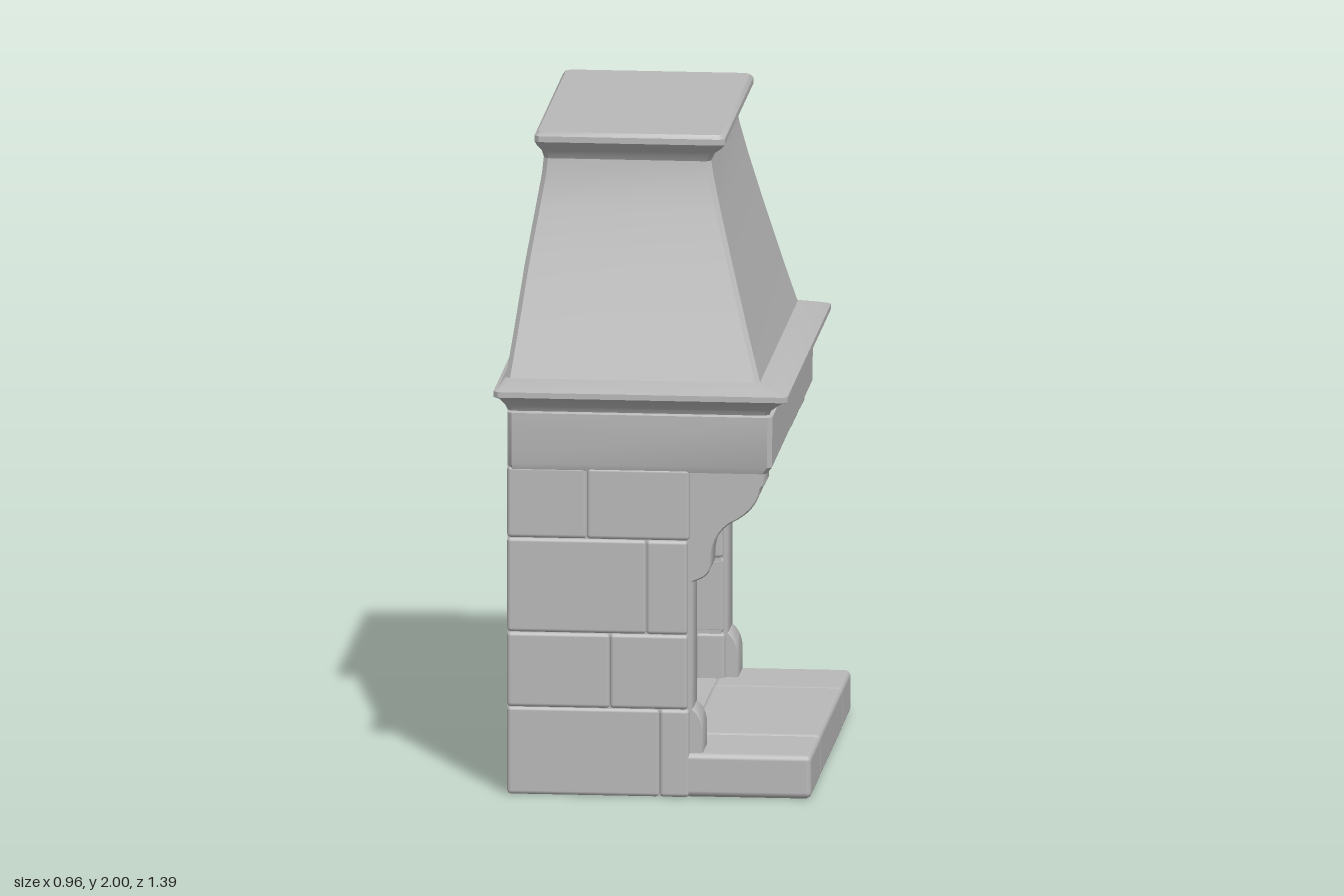
import * as THREE from 'three';
import { RoundedBoxGeometry } from 'three/addons/geometries/RoundedBoxGeometry.js';
import { toCreasedNormals } from 'three/addons/utils/BufferGeometryUtils.js';

// Stacks rectangular sections [y, xBack, xFront, zHalf] with chamfered corners
function loft(rows, c = 0.014) {
  const rings = rows.map(([y, a, b, z]) => [
    [a + c, z], [b - c, z], [b, z - c], [b, -z + c],
    [b - c, -z], [a + c, -z], [a, -z + c], [a, z - c],
  ].map(([x, w]) => [x, y, w]));
  const pos = [];
  const tri = (...pts) => pts.forEach((p) => pos.push(...p));
  for (let i = 0; i < rings.length - 1; i++) {
    for (let j = 0; j < 8; j++) {
      const k = (j + 1) % 8;
      const lo = rings[i], hi = rings[i + 1];
      tri(lo[j], lo[k], hi[k]);
      tri(lo[j], hi[k], hi[j]);
    }
  }
  const bottom = rings[0], top = rings[rings.length - 1];
  for (let j = 1; j < 7; j++) {
    tri(top[0], top[j], top[j + 1]);
    tri(bottom[0], bottom[j + 1], bottom[j]);
  }
  const geo = new THREE.BufferGeometry();
  geo.setAttribute('position', new THREE.Float32BufferAttribute(pos, 3));
  return toCreasedNormals(geo, 0.6);
}

export function createModel() {
  const model = new THREE.Group();
  model.name = 'fireplace';
  const stone = new THREE.MeshStandardMaterial({ color: 0xb8b8b8 });
  stone.name = 'grey stone';

  const add = (name, geo, parent = model) => {
    const mesh = new THREE.Mesh(geo, stone);
    mesh.name = name;
    parent.add(mesh);
    return mesh;
  };
  // Box given by its limits, rounded when r > 0
  const block = (name, x0, x1, y0, y1, z0, z1, r, parent) => {
    const s = [x1 - x0, y1 - y0, z1 - z0];
    const geo = r ? new RoundedBoxGeometry(...s, 2, r) : new THREE.BoxGeometry(...s);
    add(name, geo, parent).position.set((x0 + x1) / 2, (y0 + y1) / 2, (z0 + z1) / 2);
  };
  let seed = 7;
  const wear = () => {
    seed = (seed * 16807) % 2147483647;
    return (seed / 2147483647) * 0.008;
  };

  // Side walls in four courses, with solid cores closing the joints
  const courses = [0, 0.27, 0.5, 0.79, 1.01];
  const splits = [0.02, -0.13, -0.02, -0.2];
  for (const side of [1, -1]) {
    const wall = new THREE.Group();
    wall.name = side > 0 ? 'leftWall' : 'rightWall';
    model.add(wall);
    const span = (a, b) => (side > 0 ? [a, b] : [-b, -a]);
    block('wallCore', -0.44, 0.1, 0.003, 1.01, ...span(0.478, 0.638), 0, wall);
    for (let i = 0; i < 4; i++) {
      const y0 = courses[i], y1 = courses[i + 1];
      block('wallStone', -0.441, splits[i], y0, y1, ...span(0.47 + wear(), 0.652 - wear()), 0.012, wall);
      block('wallStone', splits[i], 0.112 - wear(), y0, y1, ...span(0.47 + wear(), 0.652 - wear()), 0.012, wall);
    }

    // Pilaster with foot and scrolled bracket, cut from one profile
    const s = new THREE.Shape();
    s.moveTo(0.05, 0.12);
    s.lineTo(0.15, 0.12);
    s.lineTo(0.15, 0.21);
    s.quadraticCurveTo(0.145, 0.25, 0.12, 0.27);
    s.lineTo(0.12, 0.66);
    s.lineTo(0.145, 0.67);
    s.quadraticCurveTo(0.175, 0.685, 0.175, 0.72);
    s.quadraticCurveTo(0.175, 0.8, 0.23, 0.84);
    s.quadraticCurveTo(0.315, 0.88, 0.325, 0.95);
    s.lineTo(0.338, 0.965);
    s.lineTo(0.338, 1.01);
    s.lineTo(0.05, 1.01);
    const geo = new THREE.ExtrudeGeometry(s, {
      depth: 0.126, curveSegments: 6, bevelThickness: 0.006, bevelSize: 0.004,
      bevelOffset: -0.004, bevelSegments: 1,
    });
    add('pilaster', toCreasedNormals(geo, 0.6), wall).position.z = span(0.494, 0.62)[0];
  }

  // Back wall: flat outside, staggered stones inside the firebox
  block('backWall', -0.44, -0.288, 0.003, 1.01, -0.5, 0.5, 0);
  const rows = [0.1, 0.32, 0.49, 0.76, 1.01];
  const joints = [[-0.2, 0.2], [-0.04, 0.28], [-0.2, 0.12], [-0.06, 0.24]];
  joints.forEach((cuts, i) => {
    const edges = [-0.48, ...cuts, 0.48];
    for (let j = 0; j < edges.length - 1; j++) {
      block('fireboxStone', -0.36, -0.272 - wear(), rows[i], rows[i + 1], edges[j], edges[j + 1], 0.012);
    }
  });

  // Hearth: one solid bed topped by worn slabs
  block('hearthBed', -0.44, 0.47, 0, 0.122, -0.632, 0.632, 0.01);
  const slabs = [-0.642, -0.36, 0.34, 0.642];
  for (let i = 0; i < 3; i++) {
    block('hearthSlab', 0.08, 0.482 - wear(), 0.002, 0.136 - wear() / 2, slabs[i], slabs[i + 1], 0.018);
  }
  block('fireboxFloor', -0.3, 0.09, 0.06, 0.132, -0.48, 0.48, 0.01);

  // Mantel frieze with its moulded shelf
  add('mantel', loft([
    [1.0, -0.438, 0.345, 0.645], [1.02, -0.44, 0.36, 0.652],
    [1.175, -0.44, 0.362, 0.652], [1.18, -0.44, 0.352, 0.642],
    [1.195, -0.445, 0.358, 0.65], [1.22, -0.462, 0.39, 0.675],
    [1.23, -0.478, 0.412, 0.694], [1.247, -0.478, 0.412, 0.694],
    [1.255, -0.465, 0.385, 0.67], [1.272, -0.45, 0.325, 0.61],
  ]));

  // Tapering hood, slightly concave
  add('hood', loft([
    [1.265, -0.45, 0.322, 0.608], [1.4, -0.43, 0.283, 0.562],
    [1.6, -0.402, 0.228, 0.495], [1.76, -0.375, 0.186, 0.445],
    [1.86, -0.358, 0.162, 0.418], [1.92, -0.352, 0.152, 0.41],
  ]));

  // Cap moulding
  add('cap', loft([
    [1.91, -0.352, 0.154, 0.412], [1.935, -0.358, 0.165, 0.425],
    [1.955, -0.37, 0.188, 0.45], [1.97, -0.376, 0.2, 0.464],
    [1.988, -0.376, 0.2, 0.464], [2.0, -0.366, 0.19, 0.454],
  ]));

  return model;
}
